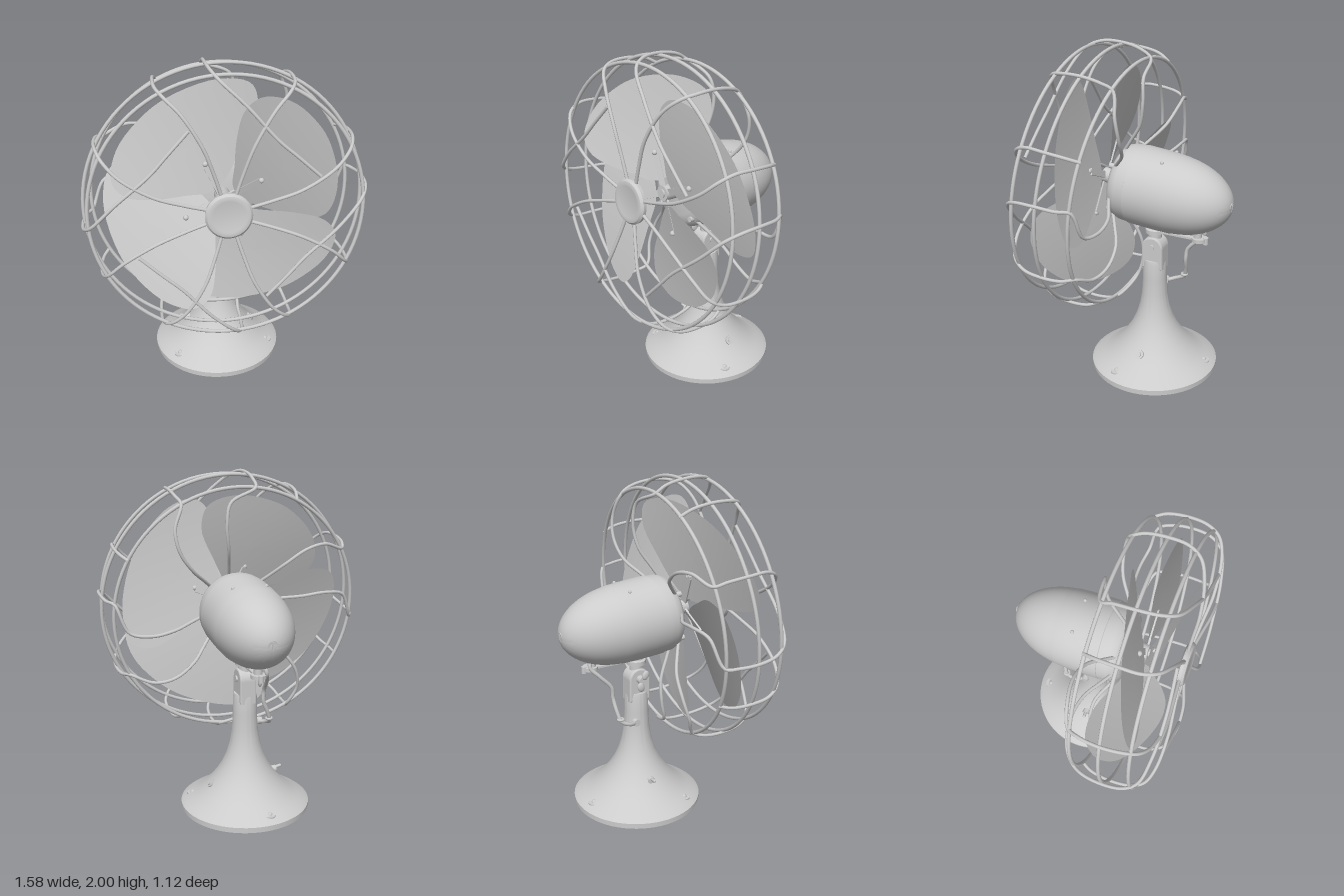
import * as THREE from 'three';
import { toCreasedNormals } from 'three/addons/utils/BufferGeometryUtils.js';

const mat = new THREE.MeshStandardMaterial({ color: 0xcccccc });
const thin = new THREE.MeshStandardMaterial({ color: 0xcccccc, side: THREE.DoubleSide });
const V = (x, y, z) => new THREE.Vector3(x, y, z);
const RAD = Math.PI / 180;

function add(parent, name, geo, x = 0, y = 0, z = 0, m = mat) {
  const mesh = new THREE.Mesh(geo, m);
  mesh.name = name;
  mesh.position.set(x, y, z);
  parent.add(mesh);
  return mesh;
}
const lathe = (pts, seg = 48) =>
  toCreasedNormals(new THREE.LatheGeometry(pts.map(p => new THREE.Vector2(...p)), seg), 0.6);
const alongZ = geo => geo.rotateX(Math.PI / 2);
const alongX = geo => geo.rotateZ(Math.PI / 2);
const cyl = (r, h, seg = 20) => new THREE.CylinderGeometry(r, r, h, seg);
const ball = r => new THREE.SphereGeometry(r, 12, 8);
const tube = (pts, r, seg = 40) =>
  new THREE.TubeGeometry(new THREE.CatmullRomCurve3(pts), seg, r, 8);
// polar point around the fan axis: radius, angle in degrees, depth
const polar = ([r, a, s]) => V(r * Math.cos(a * RAD), r * Math.sin(a * RAD), s);

// Pitched paddle blade: the outline is filled by shrinking loops
function bladeGeometry() {
  const outline = [[.08, .05], [.14, .17], [.22, .325], [.32, .45], [.43, .475], [.56, .375], [.645, .18], [.665, 0],
    [.61, -.27], [.49, -.42], [.36, -.4], [.22, -.24], [.09, -.05]];
  const pts = new THREE.CatmullRomCurve3(outline.map(([u, v]) => V(u, v, 0)), true).getPoints(60).slice(0, 60);
  const n = pts.length, rings = 6, pos = [], idx = [];
  for (let k = 0; k <= rings; k++) {
    for (const p of pts) {
      const t = k / rings, u = .36 + (p.x - .36) * t, v = p.y * t;
      pos.push(u, v, .24 + v * (.38 - .22 * u));
    }
  }
  for (let k = 0; k < rings; k++) {
    for (let i = 0; i < n; i++) {
      const j = (i + 1) % n, a = k * n + i, b = k * n + j, c = a + n, d = b + n;
      idx.push(a, d, c, a, b, d);
    }
  }
  const g = new THREE.BufferGeometry();
  g.setAttribute('position', new THREE.Float32BufferAttribute(pos, 3));
  g.setIndex(idx);
  g.computeVertexNormals();
  return g;
}

function buildCage() {
  const cage = new THREE.Group();
  cage.name = 'cage';
  for (const [r, s] of [[.75, .41], [.775, .25], [.735, .07]]) {
    add(cage, 'cageRing', new THREE.TorusGeometry(r, .011, 8, 96), 0, 0, s);
  }
  const side = a => [[.788, a, .25], [.772, a, .13], [.735, a, .06]];
  for (let q = 0; q < 4; q++) {
    // pairs of curved front spokes wrapping over the rim; one of each pair runs on to the motor
    for (const [a, d] of [[28, -1], [62, 1]]) {
      const A = a + 90 * q, f = k => A + d * k;
      const rear = d > 0
        ? [[.65, A - 9, .015], [.54, A - 15, -.005], [.4, A - 18, .01], [.28, A - 18, .07], [.17, A - 18, .135]]
        : [];
      add(cage, 'cageSpoke', tube([[.11, f(9), .475], [.25, f(10), .49], [.42, f(9), .505], [.62, f(5), .49],
        [.73, f(1.5), .445], [.775, A, .37], ...side(A), ...rear].map(polar), .01, 90));
    }
    // slanting cross wire that returns to the motor behind
    const A = 7 + 90 * q;
    add(cage, 'crossWire', tube([[.53, A - 74, .5], [.485, A - 55, .505], [.49, A - 39, .505], [.61, A - 16, .49],
      [.73, A - 4, .445], [.775, A - 1, .37], ...side(A), [.66, A - 13, .02], [.54, A - 17, 0], [.4, A - 18, .015],
      [.28, A - 18, .075], [.17, A - 18, .135]].map(polar), .01, 90));
  }
  // front medallion
  add(cage, 'cageCap', alongZ(lathe([[0, .455], [.11, .455], [.128, .465], [.13, .485], [.118, .498],
    [.1, .502], [.09, .499], [0, .505]])));
  return cage;
}

function buildRotor() {
  const rotor = new THREE.Group();
  rotor.name = 'rotor';
  const geo = bladeGeometry();
  for (let i = 0; i < 4; i++) {
    const arm = new THREE.Group();
    arm.name = 'bladeAssembly';
    arm.rotation.z = (25 + 90 * i) * RAD;
    add(arm, 'blade', geo, 0, 0, 0, thin);
    const strap = add(arm, 'bladeArm', new THREE.BoxGeometry(.2, .04, .012), .13, 0, .236);
    strap.rotation.x = .32;
    add(arm, 'rivet', ball(.016), .235, 0, .245);
    rotor.add(arm);
  }
  add(rotor, 'rotorHub', alongZ(cyl(.045, .09)), 0, 0, .21);
  add(rotor, 'shaft', alongZ(cyl(.025, .13)), 0, 0, .2);
  return rotor;
}

function buildMotor() {
  const motor = new THREE.Group();
  motor.name = 'motor';
  // rounded tail, straight drum with a small step, front shoulder
  const profile = [];
  for (let i = 0; i <= 14; i++) {
    const t = i / 14 * 80 * RAD;
    profile.push([.229 * Math.sin(t), -.185 - .376 * Math.cos(t)]);
  }
  profile.push([.229, -.235], [.233, -.16], [.235, -.06], [.235, .02], [.231, .022], [.229, .08], [.218, .115],
    [.19, .14], [.15, .15], [0, .15]);
  add(motor, 'motorShell', alongZ(lathe(profile, 64)));
  for (const x of [-.1, .1]) add(motor, 'motorScrew', ball(.011), x, .211, -.15);
  // slotted plug at the rear
  add(motor, 'rearPlug', alongZ(cyl(.03, .02)), 0, .01, -.549);
  add(motor, 'rearPlugSlot', new THREE.BoxGeometry(.008, .05, .006), 0, .01, -.56);
  // clips holding the cage
  for (let i = 0; i < 4; i++) {
    const p = polar([.19, 44 + 90 * i, .13]);
    add(motor, 'cageClip', alongZ(cyl(.016, .05, 12)), p.x, p.y, p.z);
  }
  return motor;
}

function buildStand() {
  const stand = new THREE.Group();
  stand.name = 'stand';
  stand.position.z = -.08;
  add(stand, 'base', lathe([[0, 0], [.385, 0], [.385, .015], [.39, .016], [.39, .035], [.37, .05], [.325, .072], [.275, .108],
    [.225, .155], [.18, .21], [.14, .275], [.11, .345], [.09, .42], [.078, .5], [.073, .6], [.071, .7], [.066, .725], [0, .725]], 64));
  // flattened post head with round top
  const head = new THREE.Shape();
  head.moveTo(-.06, .68);
  head.lineTo(.06, .68);
  head.lineTo(.059, .81);
  head.absarc(0, .81, .059, 0, Math.PI, false);
  const headGeo = new THREE.ExtrudeGeometry(head, { depth: .08, bevelSize: .008, bevelThickness: .01, bevelSegments: 2, curveSegments: 16 });
  add(stand, 'postHead', headGeo.translate(0, 0, -.04).rotateY(Math.PI / 2));
  add(stand, 'pivotScrew', alongX(cyl(.018, .12)), 0, .815, 0);
  add(stand, 'wingNutHub', alongX(cyl(.025, .04)), -.07, .815, 0);
  for (const s of [-1, 1]) {
    const wing = add(stand, 'wingNutWing', new THREE.SphereGeometry(.03, 12, 8).scale(.35, 1, .75), -.09, .815 + s * .035, s * .015);
    wing.rotation.x = s * .3;
  }
  // swivel neck
  add(stand, 'swivelNeck', lathe([[0, .84], [.04, .84], [.04, .895], [.058, .9], [.058, .925], [.042, .93], [.042, .99], [0, .99]], 24));
  // base screws
  for (const a of [21, 143, 262]) {
    const x = .32 * Math.cos(a * RAD), z = .32 * Math.sin(a * RAD);
    add(stand, 'screwPad', cyl(.036, .02), x, .056, z);
    add(stand, 'screwHead', ball(.016), x, .066, z);
  }
  // round knob on the left, leaning with the slope of the base
  const knob = new THREE.Group();
  knob.name = 'sideKnob';
  knob.position.set(.21, .16, 0);
  knob.rotation.z = .6;
  add(knob, 'knobCollar', alongX(cyl(.028, .035)));
  add(knob, 'knobCore', alongX(cyl(.014, .05)));
  stand.add(knob);
  // switch lever on the right
  const switchGroup = new THREE.Group();
  switchGroup.name = 'switch';
  add(switchGroup, 'switchCollar', alongX(cyl(.022, .05)), -.175, .2, 0);
  const lever = add(switchGroup, 'switchLever', alongX(new THREE.CapsuleGeometry(.01, .06, 4, 10)), -.2, .21, 0);
  lever.rotation.z = -.2;
  stand.add(switchGroup);
  return stand;
}

export function createModel() {
  const model = new THREE.Group();
  model.name = 'deskFan';
  model.add(buildStand());

  // tilted head, turned very slightly
  const head = new THREE.Group();
  head.name = 'head';
  head.position.y = 1.185;
  head.rotation.set(-.087, -.014, 0);
  head.add(buildMotor(), buildRotor(), buildCage());
  model.add(head);

  // oscillating linkage under the motor
  add(model, 'linkArm', new THREE.BoxGeometry(.03, .012, .34), .02, .918, -.23);
  add(model, 'linkDisc', cyl(.045, .022), .02, .92, -.37);
  add(model, 'linkPost', cyl(.025, .08), .02, .955, -.36);
  add(model, 'linkScrew', cyl(.016, .04, 12), .02, .915, -.41);

  // power cable from motor to post
  add(model, 'cable', tube([V(-.01, 1, -.37), V(-.02, .94, -.39), V(-.04, .88, -.34), V(-.05, .8, -.27), V(-.05, .73, -.26),
    V(-.08, .65, -.25), V(-.1, .59, -.23), V(-.1, .56, -.17), V(-.06, .545, -.11)], .012, 60));
  add(model, 'cableGrommet', alongX(cyl(.022, .03)), -.075, .55, -.12);
  add(model, 'cableClip', new THREE.TorusGeometry(.016, .008, 8, 16).rotateX(Math.PI / 2), -.095, .605, -.235);
  return model;
}
